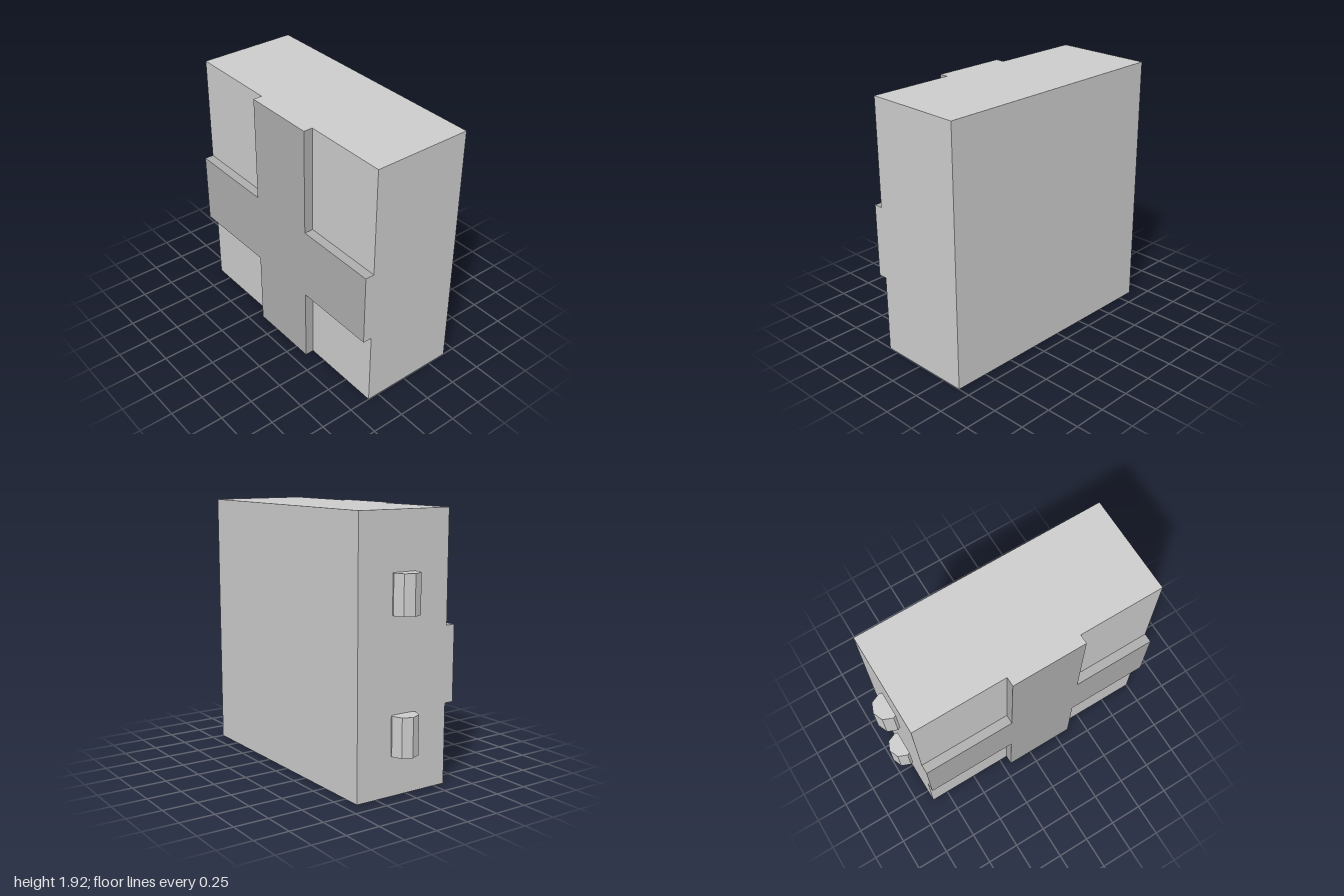
import * as THREE from 'three';

const grey = () => new THREE.MeshStandardMaterial({ color: 0xcccccc, flatShading: true });

// Outer limits of the block, and the edges of the cross bands
const X0 = -0.88, X1 = 1, H = 1.92, BACK = -0.405, PANEL = 0.337, FRONT = 0.405;
const BX0 = -0.187, BX1 = 0.365, BY0 = 0.58, BY1 = 1.125;

function crossGeometry() {
  const shape = new THREE.Shape([
    [BX0, 0], [BX1, 0], [BX1, BY0], [X1, BY0], [X1, BY1], [BX1, BY1],
    [BX1, H], [BX0, H], [BX0, BY1], [X0, BY1], [X0, BY0], [BX0, BY0],
  ].map(([x, y]) => new THREE.Vector2(x, y)));
  const geo = new THREE.ExtrudeGeometry(shape, { depth: FRONT - PANEL, bevelEnabled: false });

  // Arm ends lie flush with the block and take its colour; the rest is darker
  const p = geo.attributes.position;
  const near = (a, b) => Math.abs(a - b) < 1e-4;
  geo.clearGroups();
  for (let i = 0; i < p.count; i += 3) {
    const ids = [i, i + 1, i + 2];
    const flush = [X0, X1].some((v) => ids.every((k) => near(p.getX(k), v)))
      || [0, H].some((v) => ids.every((k) => near(p.getY(k), v)));
    geo.addGroup(i, 3, flush ? 1 : 0);
  }
  return geo.translate(0, 0, PANEL);
}

export function createModel() {
  const model = new THREE.Group();
  const add = (name, geometry, material) => {
    const mesh = new THREE.Mesh(geometry, material);
    mesh.name = name;
    model.add(mesh);
    return mesh;
  };

  // Main block, its front forming the four recessed panels
  add('doorBlock', new THREE.BoxGeometry(X1 - X0, H, PANEL - BACK), grey())
    .position.set((X0 + X1) / 2, H / 2, (BACK + PANEL) / 2);

  // Raised cross bands on the front
  const dark = new THREE.MeshStandardMaterial({ color: 0xadadad, flatShading: true });
  add('raisedCross', crossGeometry(), [dark, grey()]);

  // Two octagonal hinge barrels half sunk into the right side
  [['lowerHinge', 0.425], ['upperHinge', 1.375]].forEach(([name, y]) => {
    add(name, new THREE.CylinderGeometry(0.1, 0.1, 0.28, 8), grey()).position.set(-0.9, y, -0.037);
  });
  return model;
}
